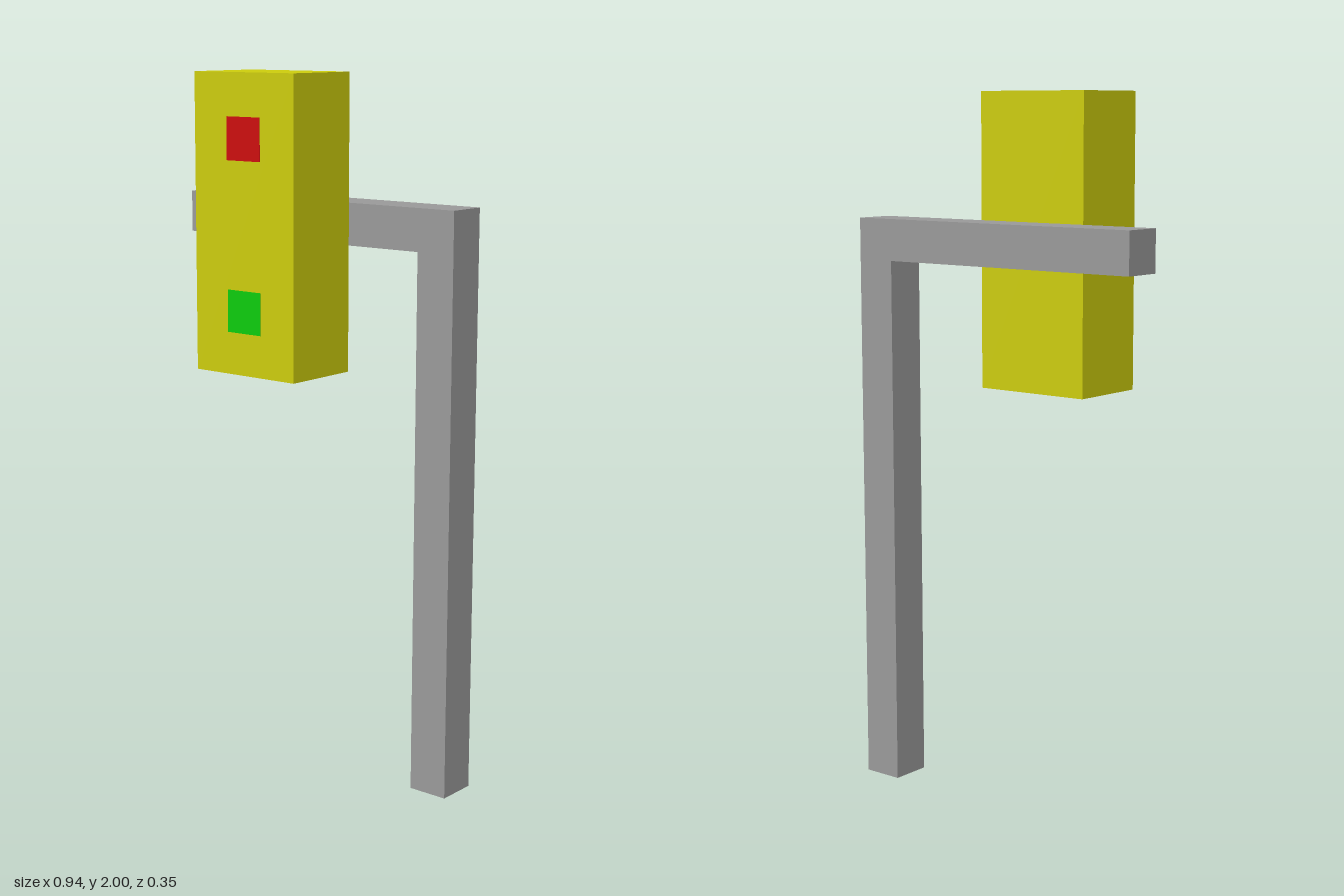
import * as THREE from 'three';

const U = 2 / 17; // modular grid unit

const mat = (name, color) => {
  const m = new THREE.MeshStandardMaterial({ color });
  m.name = name;
  return m;
};

export function createModel() {
  const model = new THREE.Group();
  model.name = 'trafficSignal';
  const grey = mat('poleGrey', 0x999999);
  const yellow = mat('housingYellow', 0xcccc0d);
  const red = mat('stopRed', 0xcc0d0d);
  const green = mat('goGreen', 0x0dcc0d);

  const add = (name, geometry, material, x, y, z) => {
    const mesh = new THREE.Mesh(geometry, material);
    mesh.name = name;
    mesh.position.set(x * U, y * U, z * U);
    model.add(mesh);
  };

  // Post and overhanging arm as a single bent bar
  const outline = [[3, 0], [4, 0], [4, 14], [-4, 14], [-4, 13], [3, 13]];
  const shape = new THREE.Shape(outline.map(([x, y]) => new THREE.Vector2(x * U, y * U)));
  const bar = new THREE.ExtrudeGeometry(shape, { depth: U, bevelEnabled: false });
  add('postAndArm', bar, grey, 0, 0, -1.5);

  // Signal housing hung on the front of the arm
  add('housing', new THREE.BoxGeometry(3 * U, 7 * U, 2 * U), yellow, -0.5, 13.5, 0.5);

  // Square lamps, thin plates on the housing front
  const lamp = new THREE.BoxGeometry(U, U, 0.004);
  add('redLamp', lamp, red, -0.5, 15.5, 1.5);
  add('greenLamp', lamp, green, -0.5, 11.5, 1.5);

  return model;
}
